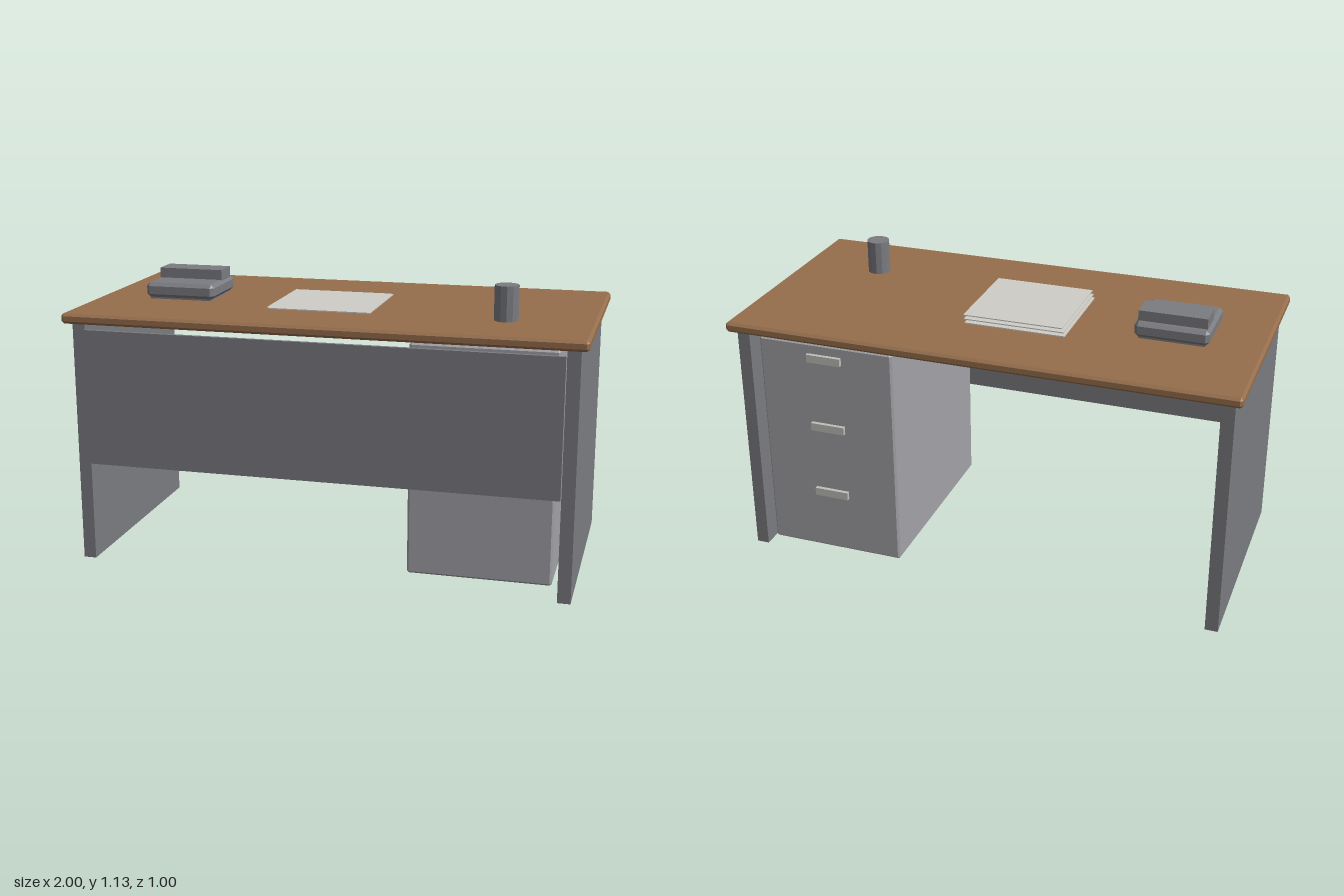
import * as THREE from 'three';
import { ConvexGeometry } from 'three/addons/geometries/ConvexGeometry.js';

const material = (name, color) => {
  const m = new THREE.MeshStandardMaterial({ color });
  m.name = name;
  return m;
};

// Box with every edge cut by a flat chamfer c
function chamferBox(w, h, d, c) {
  const points = [];
  for (const sx of [-1, 1]) for (const sy of [-1, 1]) for (const sz of [-1, 1]) {
    const x = w / 2, y = h / 2, z = d / 2;
    points.push(
      new THREE.Vector3(sx * x, sy * (y - c), sz * (z - c)),
      new THREE.Vector3(sx * (x - c), sy * y, sz * (z - c)),
      new THREE.Vector3(sx * (x - c), sy * (y - c), sz * z));
  }
  return new ConvexGeometry(points);
}

export function createModel() {
  const desk = new THREE.Group();
  desk.name = 'desk';
  const wood = material('brown wood', 0x966e4c);
  const grey = material('dark grey', 0x7b7c81);
  const lightGrey = material('light grey', 0xa3a3a8);
  const handleGrey = material('handle grey', 0xc0c0ba);
  const paper = material('paper white', 0xcfcdc8);

  // Add a box from its ranges on each axis, chamfered if c is given
  function box(name, mat, [x0, x1], [y0, y1], [z0, z1], c = 0, parent = desk) {
    const size = [x1 - x0, y1 - y0, z1 - z0];
    const geometry = c ? chamferBox(...size, c) : new THREE.BoxGeometry(...size);
    const mesh = new THREE.Mesh(geometry, mat);
    mesh.name = name;
    mesh.position.set((x0 + x1) / 2, (y0 + y1) / 2, (z0 + z1) / 2);
    parent.add(mesh);
    return mesh;
  }

  // Top, side panels and the modesty panel at the front
  box('tableTop', wood, [-1, 1], [0.96, 1], [-0.5, 0.5], 0.01);
  box('rightSidePanel', grey, [-0.97, -0.92], [0, 0.96], [-0.46, 0.46]);
  box('leftSidePanel', grey, [0.92, 0.97], [0, 0.96], [-0.46, 0.46]);
  box('modestyPanel', grey, [-0.92, 0.918], [0.4, 0.935], [0.46, 0.475]);

  // Drawer cabinet with three handles on the sitter's side
  const cabinet = new THREE.Group();
  cabinet.name = 'drawerCabinet';
  desk.add(cabinet);
  box('cabinetBody', lightGrey, [0.335, 0.89], [0.03, 0.935], [-0.44, 0.38], 0.008, cabinet);
  for (const y of [0.877, 0.583, 0.29]) {
    box('drawerHandle', handleGrey, [0.545, 0.685], [y - 0.016, y + 0.016], [-0.455, -0.439], 0, cabinet);
  }

  // Telephone: low body with a raised block at the back
  const phone = new THREE.Group();
  phone.name = 'telephone';
  desk.add(phone);
  box('phoneFoot', grey, [-0.785, -0.53], [1, 1.008], [-0.118, 0.118], 0, phone);
  box('phoneBody', grey, [-0.8, -0.515], [1.006, 1.066], [-0.131, 0.131], 0.014, phone);
  box('phoneHandset', grey, [-0.788, -0.525], [1.06, 1.106], [-0.106, 0], 0, phone);

  // Three offset layers of paper
  [[-0.27, -0.205], [-0.258, -0.18], [-0.245, -0.153]].forEach(([x, z], i) => {
    const y = 1 + i * 0.004;
    box('paperSheet', paper, [x, x + 0.4], [y, y + 0.004], [z, z + 0.404]);
  });

  // Pen cup
  const cup = new THREE.Mesh(
    new THREE.CylinderGeometry(0.046, 0.046, 0.134, 12).toNonIndexed(), grey);
  cup.geometry.computeVertexNormals();
  cup.name = 'penCup';
  cup.position.set(0.665, 1.067, 0.2);
  cup.rotation.y = 0.15;
  desk.add(cup);

  return desk;
}
